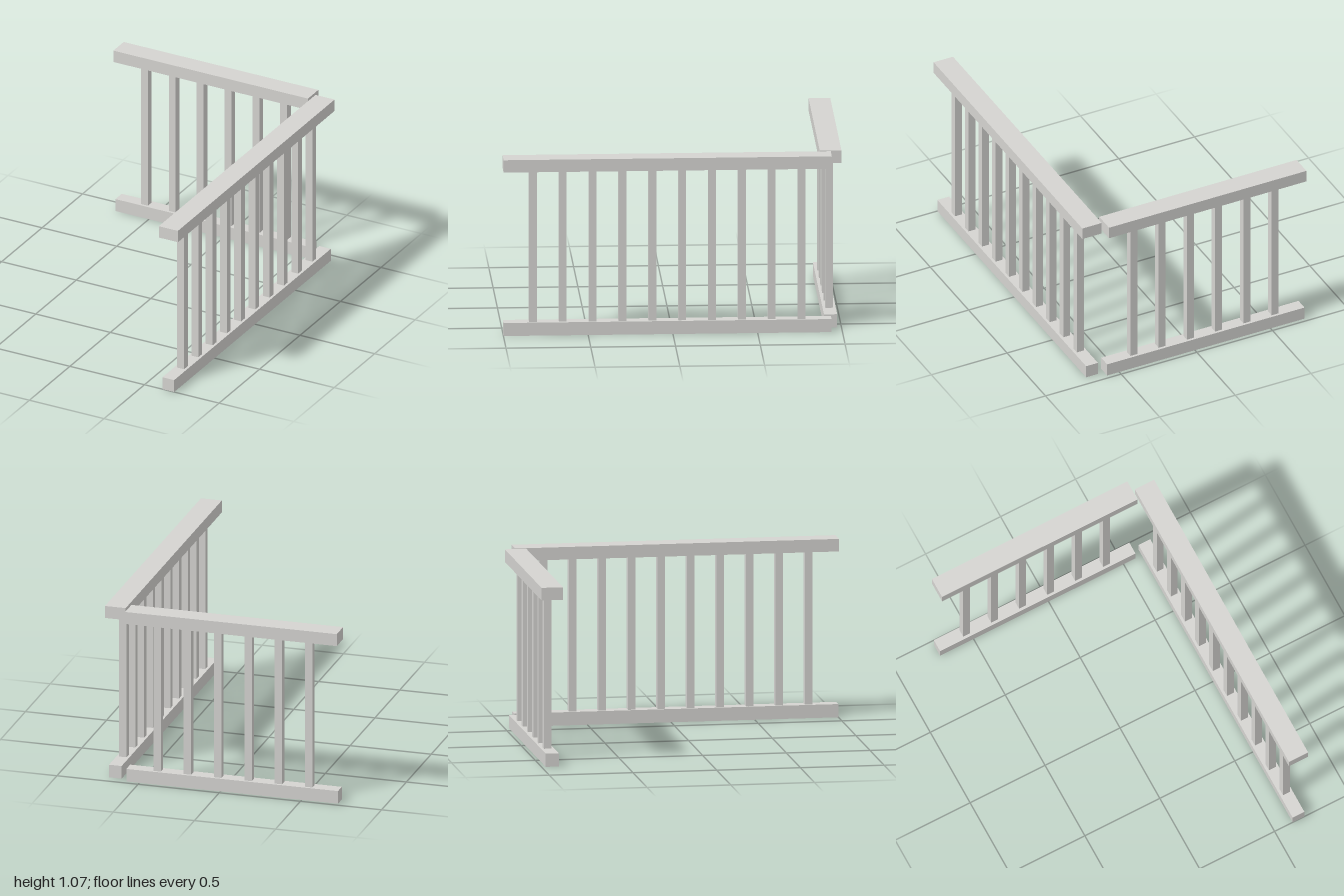
import * as THREE from 'three';

const RAIL_TOP = 1.072, TOP_BASE = 0.997, SILL_TOP = 0.079;

export function createModel() {
  const greyPaint = new THREE.MeshStandardMaterial({ color: 0xd4d3d0 });
  greyPaint.name = 'greyPaint';

  // Box running along local x, between two heights
  const bar = (name, length, y0, y1, depth, x = 0) => {
    const mesh = new THREE.Mesh(new THREE.BoxGeometry(length, y1 - y0, depth), greyPaint);
    mesh.name = name;
    mesh.position.set(x, (y0 + y1) / 2, 0);
    return mesh;
  };

  // Railing section: handrail, bottom rail and evenly spaced balusters
  const railing = (name, length, count, first, spacing) => {
    const section = new THREE.Group();
    section.name = name;
    section.add(bar('handrail', length, TOP_BASE, RAIL_TOP, 0.128));
    section.add(bar('bottomRail', length, 0, SILL_TOP, 0.078));
    for (let i = 0; i < count; i++) {
      section.add(bar('baluster', 0.046, SILL_TOP, TOP_BASE, 0.046, first + i * spacing));
    }
    return section;
  };

  const model = new THREE.Group();
  model.name = 'cornerRailing';

  // Short section across the back
  const back = railing('backRailing', 1.304, 6, -0.466, 0.1866);
  back.position.set(-0.072, 0, -0.936);

  // Long section along the left side, local x turned towards -z
  const side = railing('sideRailing', 1.936, 10, -0.793, 0.1761);
  side.rotation.y = Math.PI / 2;
  side.position.set(0.66, 0, 0.032);

  model.add(back, side);
  return model;
}
